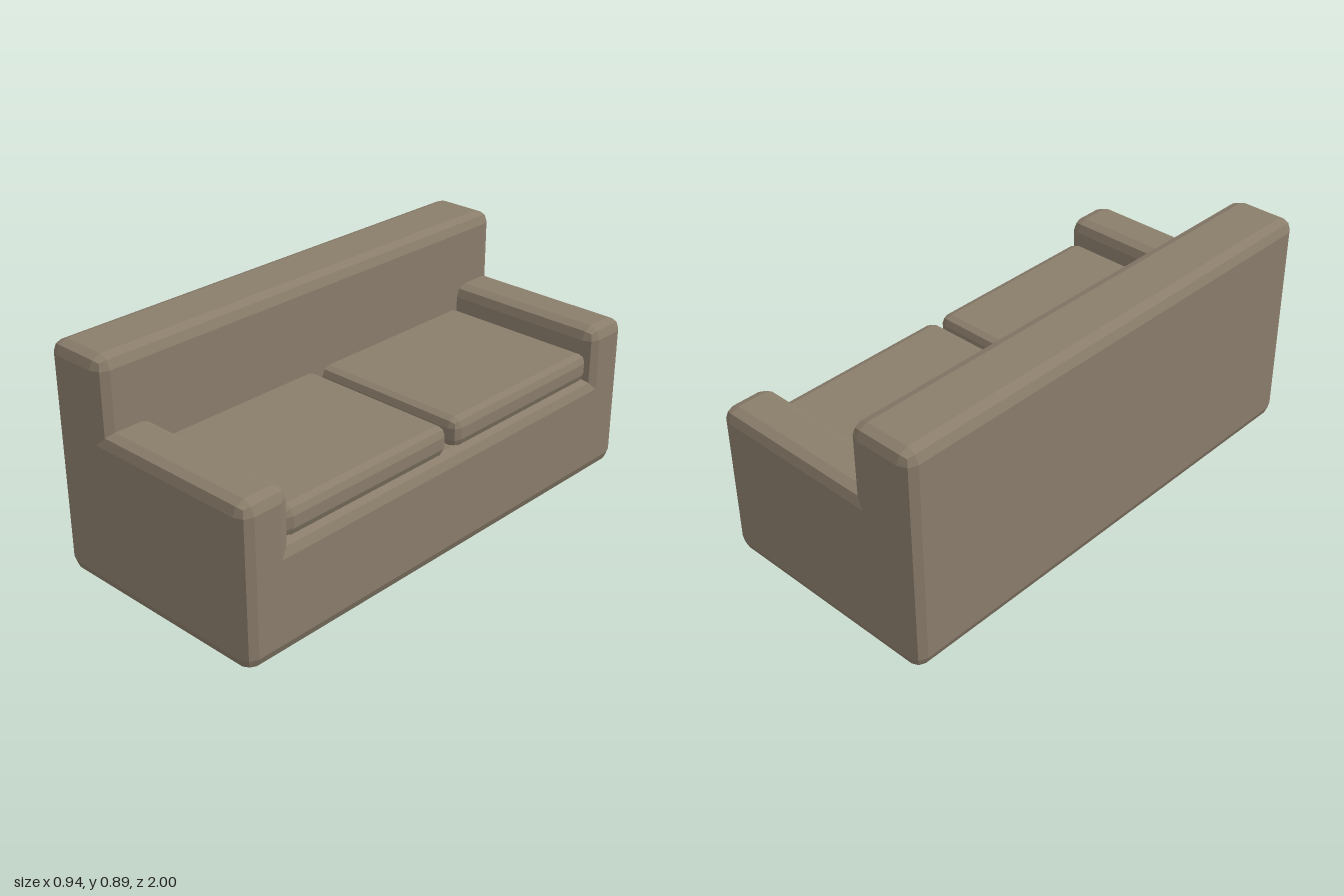
import * as THREE from 'three';
import { RoundedBoxGeometry } from 'three/addons/geometries/RoundedBoxGeometry.js';

export function createModel() {
  const sofa = new THREE.Group();
  sofa.name = 'sofa';

  const fabric = new THREE.MeshStandardMaterial({ color: 0x8a7d6b, flatShading: true });
  fabric.name = 'taupe fabric';

  // Box with a two-facet bevel, given by its [min, max] extents
  function block(name, [x0, x1], [y0, y1], [z0, z1], bevel) {
    const geometry = new RoundedBoxGeometry(x1 - x0, y1 - y0, z1 - z0, 1, bevel);
    const mesh = new THREE.Mesh(geometry, fabric);
    mesh.name = name;
    mesh.position.set((x0 + x1) / 2, (y0 + y1) / 2, (z0 + z1) / 2);
    sofa.add(mesh);
  }

  // Frame: the seat opens towards +x, the backrest runs along -x
  block('seatBase', [-0.47, 0.47], [0, 0.415], [-1, 1], 0.047);
  block('backrest', [-0.47, -0.2], [0, 0.895], [-1, 1], 0.047);

  // Mirrored arms and seat cushions
  for (const side of [1, -1]) {
    const span = (a, b) => (side > 0 ? [a, b] : [-b, -a]);
    const label = side > 0 ? 'front' : 'rear';
    block(label + 'Arm', [-0.47, 0.47], [0, 0.622], span(0.795, 1), 0.047);
    block(label + 'Cushion', [-0.25, 0.45], [0.41, 0.525], span(0.017, 0.805), 0.035);
  }

  return sofa;
}
